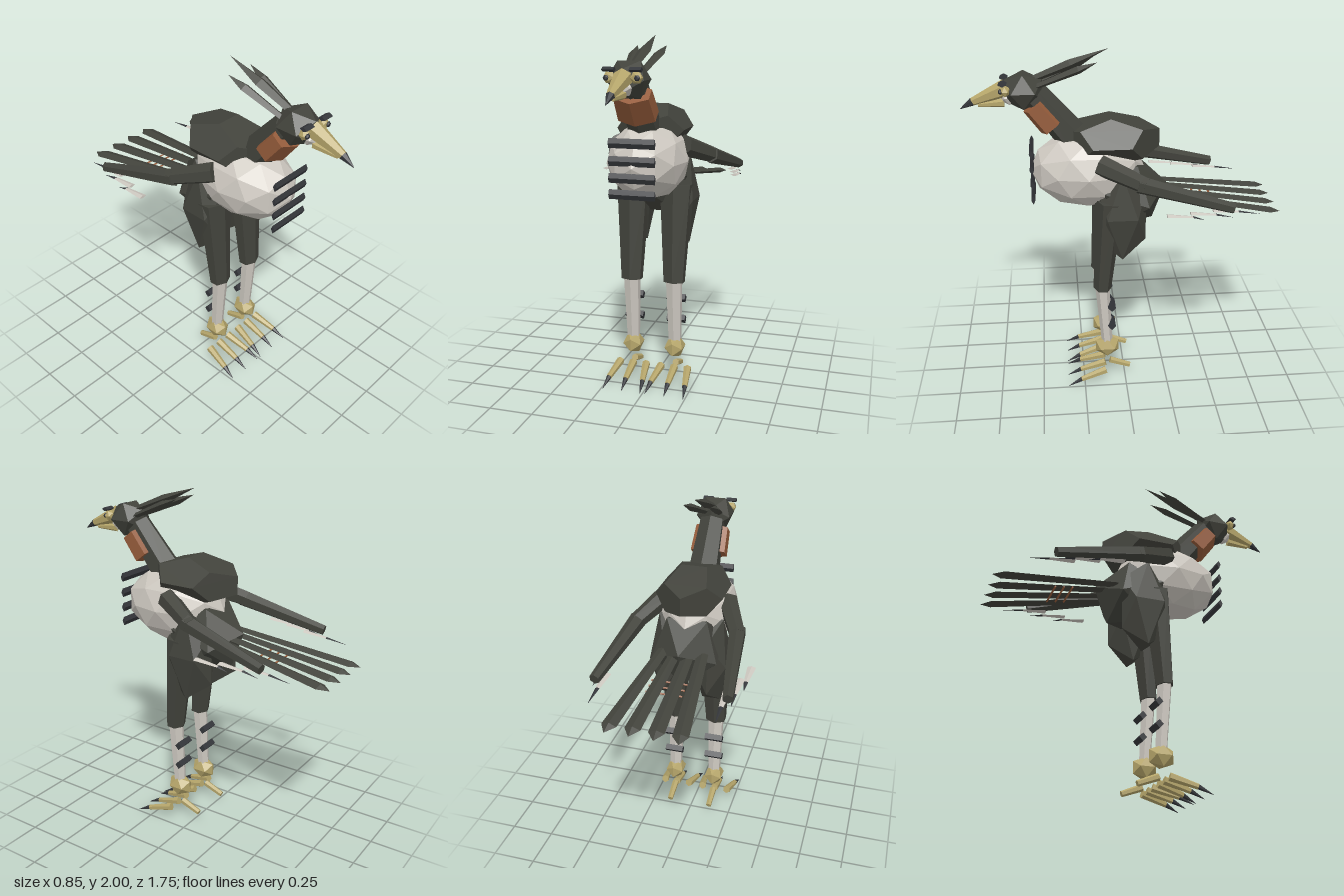
import * as THREE from 'three';

const flat = (name, color) => {
  const m = new THREE.MeshStandardMaterial({ color, flatShading: true });
  m.name = name;
  return m;
};
const V = (x, y, z) => new THREE.Vector3(x, y, z);

export function createModel() {
  const root = new THREE.Group();
  root.name = 'longLeggedBird';
  const dark = flat('dark plumage', 0x42433c);
  const black = flat('charcoal', 0x34363a);
  const light = flat('pale plumage', 0xcdc8c0);
  const copper = flat('copper', 0x945b3a);
  const gold = flat('gold horn', 0xb5a56a);

  const add = (name, geo, mat) => {
    const mesh = new THREE.Mesh(geo, mat);
    mesh.name = name;
    root.add(mesh);
    return mesh;
  };

  // faceted body mass
  const blob = (name, geo, mat, pos, scale, tilt = 0) => {
    geo.scale(...scale).rotateX(tilt).translate(...pos);
    return add(name, geo, mat);
  };
  const ico = (d = 0) => new THREE.IcosahedronGeometry(1, d);

  // moves a unit-high shape so it runs from a to b, with its flat side facing up
  const span = (geo, a, b) => {
    const y = b.clone().sub(a);
    const len = y.length();
    y.normalize();
    const ref = Math.abs(y.x) > 0.9 ? V(0, 0, 1) : V(1, 0, 0);
    const x = ref.addScaledVector(y, -ref.dot(y)).normalize();
    const m = new THREE.Matrix4().makeBasis(x, y, x.clone().cross(y));
    geo.scale(1, len, 1).applyMatrix4(m).translate(a.x, a.y, a.z);
    return geo;
  };
  const limb = (name, mat, a, b, r0, r1, sides = 6, sx = 1, sz = 1) => {
    const g = new THREE.CylinderGeometry(r1, r0, 1, sides).translate(0, 0.5, 0).scale(sx, 1, sz);
    return add(name, span(g, a, b), mat);
  };
  // flat diamond-section quill with a pointed end
  const feather = (name, mat, a, b, base, wide, at, thick) => {
    const pts = [[0, 0], [base, 0], [wide, at], [0, 1]].map(p => new THREE.Vector2(...p));
    const g = new THREE.LatheGeometry(pts, 4).scale(1, 1, thick);
    return add(name, span(g, a, b), mat);
  };
  // diamond-section bar lying across x
  const bar = (name, mat, x, y, z, half, h, d) => {
    const g = new THREE.CylinderGeometry(1, 1, half * 2, 4).rotateZ(Math.PI / 2);
    return add(name, g.scale(1, h, d).translate(x, y, z), mat);
  };

  // body
  blob('breast', ico(1), light, [0, 1.33, 0.2], [0.22, 0.22, 0.32]);
  blob('back', new THREE.DodecahedronGeometry(1), dark, [0, 1.497, 0.07], [0.205, 0.143, 0.295]);
  blob('rump', ico(), dark, [0, 1.19, -0.01], [0.22, 0.22, 0.25], -0.35);
  for (const y of [1.46, 1.367, 1.278, 1.192]) bar('breastBar', black, 0, y, 0.508, 0.125, 0.026, 0.012);

  // neck and collar
  limb('neck', dark, V(0, 1.48, 0.25), V(0, 1.76, 0.475), 0.095, 0.075);
  limb('collar', copper, V(0, 1.59, 0.387), V(0, 1.71, 0.483), 0.088, 0.082, 6, 1.33, 0.9);

  // head
  blob('head', ico(), dark, [0, 1.785, 0.535], [0.115, 0.11, 0.12]);
  blob('face', ico(), light, [0, 1.75, 0.61], [0.05, 0.045, 0.05]);
  limb('upperBeak', gold, V(0, 1.8, 0.625), V(0, 1.727, 0.81), 0.05, 0.022);
  limb('beakTip', black, V(0, 1.728, 0.808), V(0, 1.69, 0.875), 0.023, 0.002);
  limb('lowerBeak', gold, V(0, 1.718, 0.64), V(0, 1.709, 0.78), 0.024, 0.012);
  for (const s of [-1, 1]) {
    blob('eye', ico(), gold, [s * 0.07, 1.8, 0.628], [0.034, 0.032, 0.028]);
    blob('pupil', ico(), black, [s * 0.08, 1.8, 0.652], [0.016, 0.016, 0.012]);
    bar('brow', black, s * 0.07, 1.84, 0.64, 0.03, 0.012, 0.022);
    feather('sideCrest', dark, V(s * 0.04, 1.81, 0.47), V(s * 0.082, 1.945, 0.14), 0.02, 0.03, 0.7, 0.7);
  }
  feather('middleCrest', dark, V(0, 1.84, 0.49), V(0, 2, 0.075), 0.025, 0.036, 0.5, 0.7);

  // tail fan with copper cross bars beneath
  for (const i of [-1.5, -0.5, 0.5, 1.5]) {
    feather('tailFeather', dark, V(i * 0.075, 1.205, -0.15), V(i * 0.128, 1.1, -0.875), 0.032, 0.042, 0.92, 0.4);
  }
  for (const z of [-0.405, -0.455, -0.505]) bar('tailBar', copper, 0, 1.145 + (z + 0.455) * 0.14, z, 0.1, 0.006, 0.006);

  for (const s of [-1, 1]) {
    // wing
    const shoulder = V(s * 0.18, 1.41, 0.14);
    const elbow = V(s * 0.295, 1.325, -0.1);
    const wrist = V(s * 0.358, 1.205, -0.57);
    limb('upperWing', dark, shoulder, elbow, 0.06, 0.046);
    limb('foreWing', dark, V(s * 0.285, 1.333, -0.06), wrist, 0.05, 0.03);
    const quills = [[0.4, 1.195, -0.2], [0.37, 1.19, -0.33], [0.33, 1.185, -0.46]];
    quills.forEach(([x, y, z], i) => {
      const mid = V(s * x, y - 0.012, z - 0.14);
      limb('wingQuill', light, V(s * x, y, z), mid, 0.024, 0.012, 4, 1, 0.35);
      limb('wingQuillTip', black, mid, V(s * (x + 0.003), y - 0.03, z - 0.2 - i * 0.03), 0.012, 0.001, 4, 1, 0.5);
    });

    // leg
    const x = s * 0.127;
    blob('haunch', ico(), dark, [x, 1.09, 0.018], [0.115, 0.305, 0.162]);
    limb('thigh', dark, V(x, 0.615, 0.132), V(x, 1.18, 0.085), 0.058, 0.09, 6, 1.12, 0.9);
    limb('shank', light, V(x, 0.24, 0.107), V(x, 0.625, 0.132), 0.036, 0.046, 6, 1.08, 0.92);
    for (const y of [0.503, 0.375]) bar('legBar', black, x, y, 0.08, 0.055, 0.025, 0.023);
    blob('ankle', ico(), gold, [x, 0.21, 0.107], [0.062, 0.068, 0.081]);

    // foot: three front toes and one hind toe
    for (const k of [-1, 0, 1]) {
      const base = V(x + k * 0.08, 0.085, 0.12);
      const end = V(x + k * 0.102, 0.04, 0.27);
      limb('toe', gold, base, end, 0.024, 0.016);
      limb('claw', black, end, V(x + k * 0.113, 0.002, 0.35), 0.015, 0.001);
    }
    limb('hindToe', gold, V(x, 0.1, 0.09), V(x, 0.055, -0.03), 0.021, 0.017);
  }
  return root;
}
